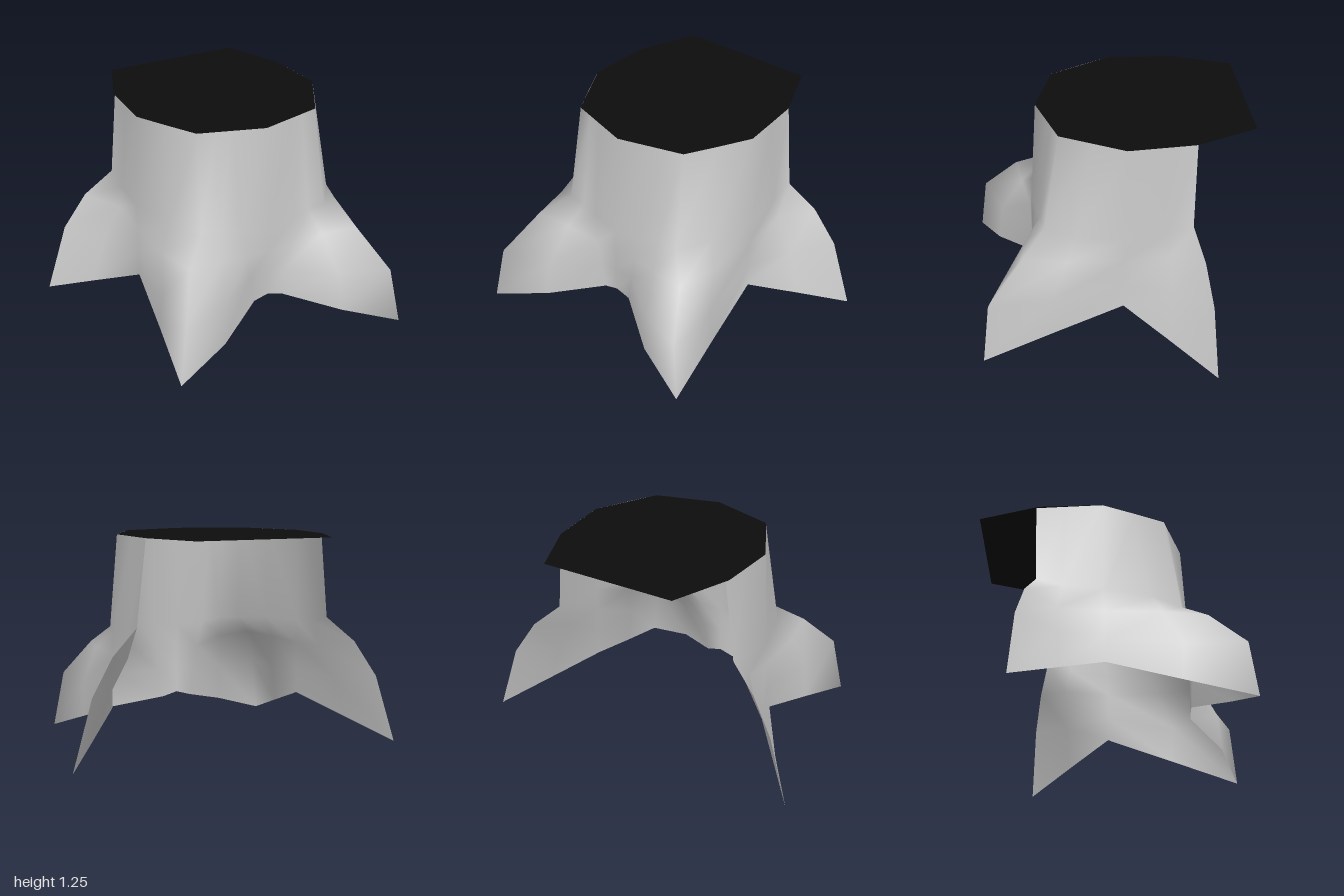
import * as THREE from 'three';

const TOP = 1.255;

// Cross-sections of one half of the bark, from front centre round to the back edge.
// Each column runs from the cut rim down to the root hem.
const halfColumns = [
  [[0, TOP, 0.42], [0, 0.64, 0.46], [0, 0.5, 0.46], [0, 0.36, 0.46], [0, 0.215, 0.46]],
  [[0.19, TOP, 0.364], [0.17, 0.66, 0.44], [0.14, 0.5, 0.465], [0.12, 0.36, 0.465], [0.09, 0.19, 0.46]],
  [[0.27, TOP, 0.34], [0.28, 0.68, 0.42], [0.33, 0.55, 0.51], [0.37, 0.33, 0.64], [0.385, 0.105, 0.665]],
  [[0.375, TOP, 0.31], [0.4, 0.68, 0.4], [0.54, 0.56, 0.54], [0.66, 0.34, 0.74], [0.715, 0, 0.78]],
  [[0.475, TOP, 0.13], [0.52, 0.69, 0.23], [0.59, 0.56, 0.29], [0.64, 0.34, 0.39], [0.655, 0.125, 0.375]],
  [[0.57, TOP, -0.05], [0.595, 0.7, -0.04], [0.6, 0.56, -0.03], [0.6, 0.4, -0.03], [0.6, 0.25, -0.03]],
  [[0.555, TOP, -0.25], [0.585, 0.72, -0.27], [0.6, 0.58, -0.3], [0.71, 0.38, -0.3], [0.8, 0.13, -0.28]],
  [[0.54, TOP, -0.435], [0.59, 0.765, -0.42], [0.75, 0.62, -0.47], [0.88, 0.41, -0.505], [1, 0.01, -0.525]],
];

// Skins a grid of columns with smooth shared vertices
function skin(columns) {
  const rows = columns[0].length;
  const index = [];
  for (let i = 0; i < columns.length - 1; i++) {
    for (let j = 0; j < rows - 1; j++) {
      const a = i * rows + j, b = a + rows;
      index.push(a, a + 1, b, b, a + 1, b + 1);
    }
  }
  const geometry = new THREE.BufferGeometry();
  geometry.setAttribute('position', new THREE.Float32BufferAttribute(columns.flat(2), 3));
  geometry.setIndex(index);
  geometry.computeVertexNormals();
  return geometry;
}

export function createModel() {
  const group = new THREE.Group();
  group.name = 'treeStump';

  const bark = new THREE.MeshStandardMaterial({ color: 0xc8c8c8, side: THREE.DoubleSide });
  bark.name = 'pale grey bark';
  const dark = new THREE.MeshStandardMaterial({ color: 0x0d0d0d, side: THREE.DoubleSide });
  dark.name = 'black cut wood';

  // Open-backed trunk flaring into four roots
  const mirrored = halfColumns.slice(1).reverse().map(col => col.map(([x, y, z]) => [-x, y, z]));
  const trunk = new THREE.Mesh(skin([...mirrored, ...halfColumns]), bark);
  trunk.name = 'trunkAndRoots';
  group.add(trunk);

  // Flat cut top, reaching out past the open back
  const outline = [
    [-0.42, -0.775], [0.39, -0.785], [0.54, -0.435], [0.57, -0.05], [0.375, 0.31],
    [0, 0.42], [-0.375, 0.31], [-0.57, -0.05], [-0.555, -0.42],
  ];
  const shape = new THREE.Shape(outline.map(([x, z]) => new THREE.Vector2(x, -z)));
  const cap = new THREE.Mesh(new THREE.ShapeGeometry(shape).rotateX(-Math.PI / 2), dark);
  cap.position.y = TOP;
  cap.name = 'cutTop';
  group.add(cap);

  return group;
}
